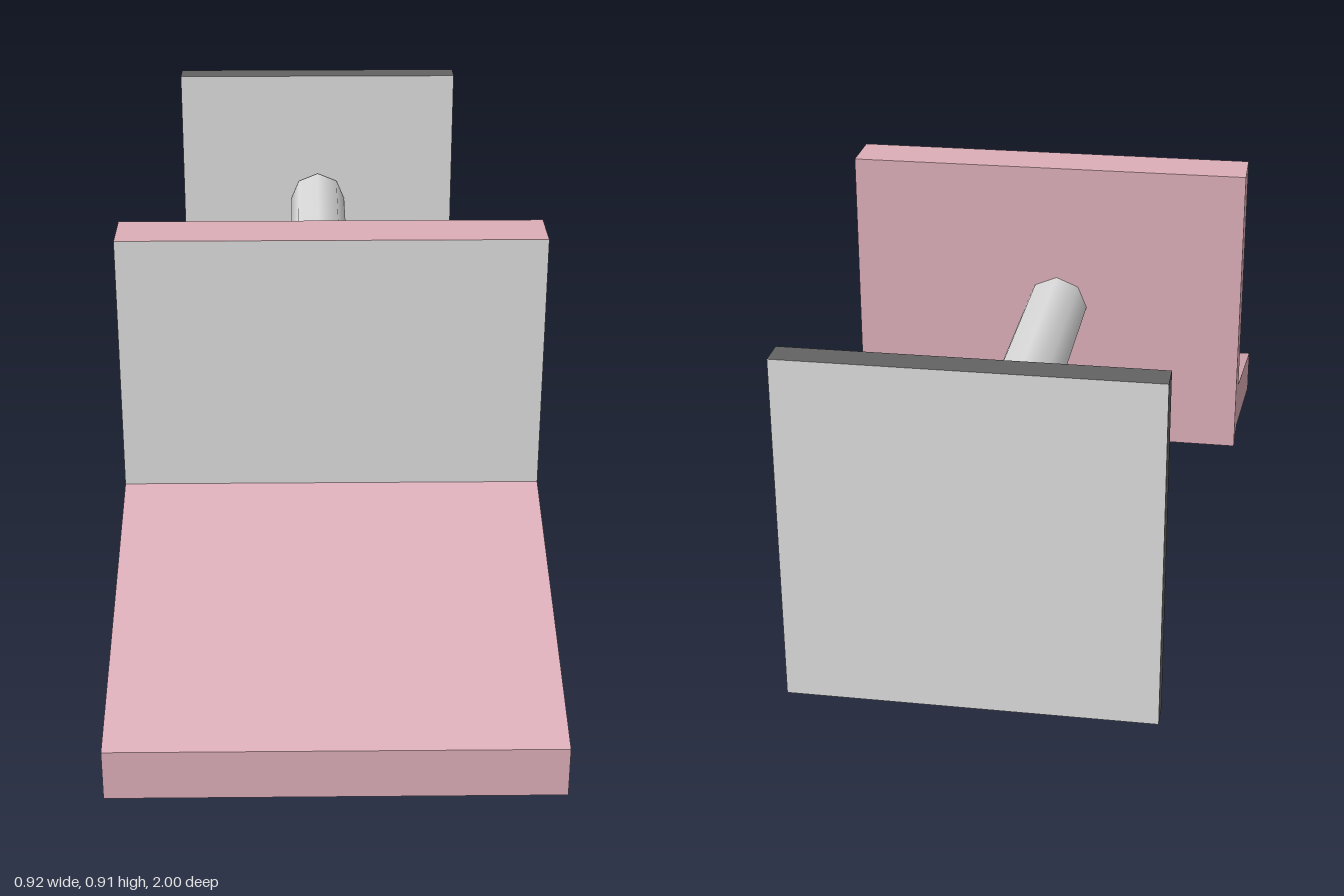
import * as THREE from 'three';

const material = (name, color) => {
  const m = new THREE.MeshStandardMaterial({ color });
  m.name = name;
  return m;
};

export function createModel() {
  const pink = material('pink', 0xdcaeb8);
  const grey = material('light grey', 0xdcdcdc);
  const dark = material('dark grey', 0x636363);
  const group = new THREE.Group();

  const add = (name, geometry, mat, x, y, z) => {
    const mesh = new THREE.Mesh(geometry, mat);
    mesh.name = name;
    mesh.position.set(x, y, z);
    group.add(mesh);
    return mesh;
  };

  // Upright panel and sloping ramp: one side profile (z, y) extruded across x
  const width = 0.924;
  const profile = new THREE.Shape([
    [1, 0], [1, 0.11], [0.292, 0.33], [0.292, 0.91],
    [0.172, 0.91], [0.172, 0.22], [0.292, 0.22],
  ].map(([z, y]) => new THREE.Vector2(z, y)));
  const body = new THREE.ExtrudeGeometry(profile, { depth: width, bevelEnabled: false });
  body.translate(0, 0, -width / 2).rotateY(-Math.PI / 2);
  add('rampAndPanel', body, pink, 0, 0, 0);

  // Grey facing on the front of the upright panel
  add('panelFace', new THREE.PlaneGeometry(width, 0.58), grey, 0, 0.62, 0.294);

  // Round connecting rod, eight sides with smooth shading
  const rod = new THREE.CylinderGeometry(0.073, 0.073, 1.106, 8);
  rod.rotateX(Math.PI / 2);
  add('rod', rod, grey, -0.022, 0.564, -0.379);

  // Rear plate: dark rim, light front and back
  const plate = new THREE.BoxGeometry(0.734, 0.718, 0.06);
  add('rearPlate', plate, [dark, dark, dark, dark, grey, grey], -0.022, 0.551, -0.97);

  return group;
}
